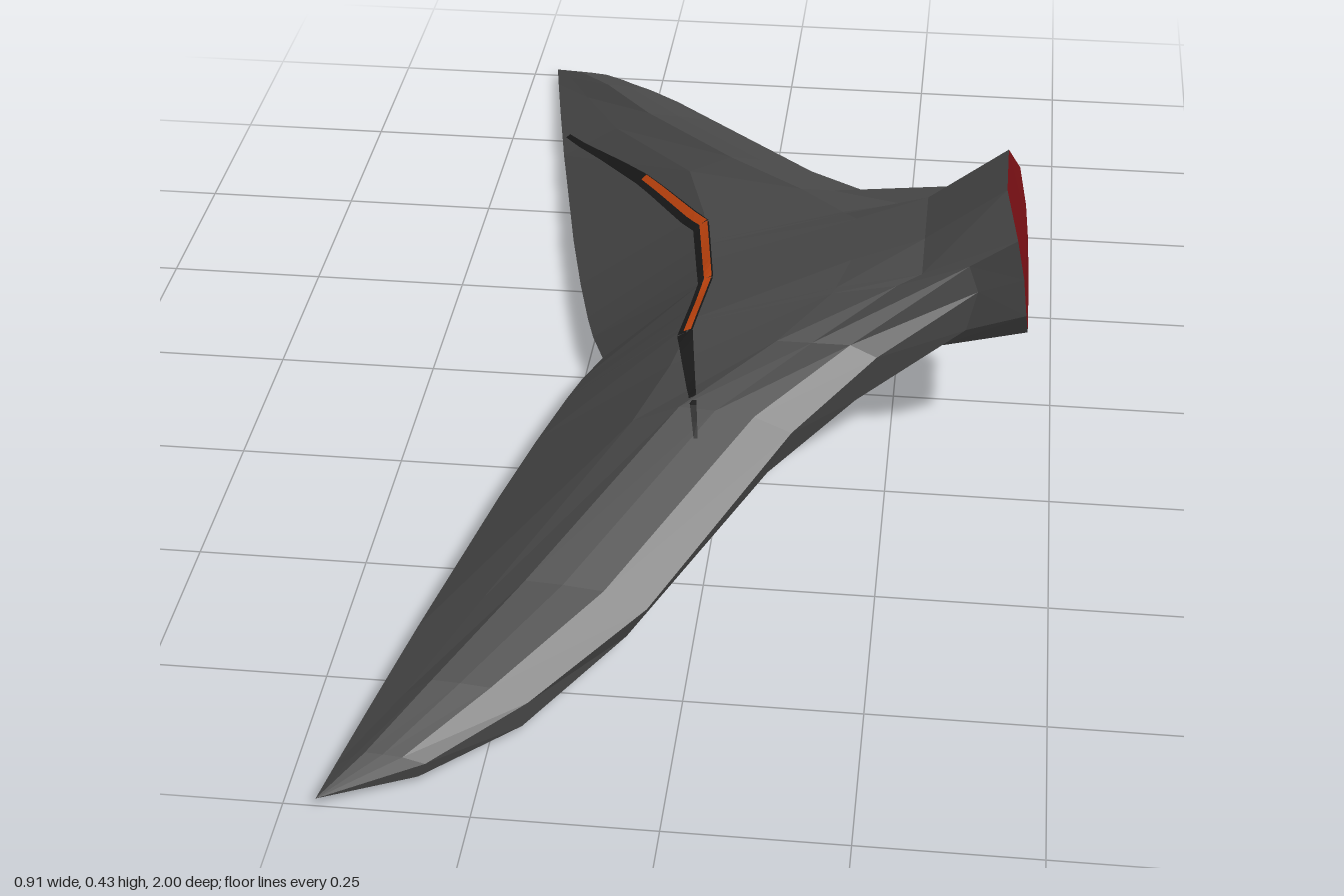
import * as THREE from 'three';

const material = (name, color, side = THREE.FrontSide) => {
  const m = new THREE.MeshStandardMaterial({ color, side });
  m.name = name;
  return m;
};

// Half-span stations: z, then x,y of groove line, ridge, top front, nose, lower front, belly
const STATIONS = [
  [.06,  -.052, .207, .18, .298, .41, .437, .445, .31, .455, .183, .24, .128],
  [.108, -.06, .205, .16, .277, .43, .378, .443, .31, .45, .245, .22, .132],
  [.118, -.06, .205, .155, .273, .36, .335, .375, .29, .36, .22, .21, .13],
  [.22,  -.08, .195, .08, .25, .19, .25, .23, .23, .2, .15, .09, .092],
  [.36,  -.12, .188, -.05, .22, .06, .21, .115, .185, .08, .11, 0, .062],
  [.66,  -.29, .09, -.23, .125, -.12, .115, -.06, .088, -.09, .036, -.16, .016],
  [.83,  -.37, .055, -.33, .084, -.25, .077, -.2, .055, -.21, .012, -.23, .004],
  [.94,  -.42, .035, -.4, .048, -.35, .044, -.32, .035, -.33, .012, -.34, .008],
];

// Full ring: the rear edge follows a curve in z, and the neck top sags between ridge and front
function ring(z, p) {
  const rear = [-.22 - .235 * z ** .8, .045 - .028 * z];
  const sag = [p[2] + .48 * (p[4] - p[2]), p[3] + .33 * (p[5] - p[3])];
  const points = [rear, [p[0], p[1]], [p[2], p[3]], sag];
  for (let i = 4; i < 12; i += 2) points.push([p[i], p[i + 1]]);
  return points.map(([x, y]) => [x, y, z]);
}

const RINGS = [
  ring(0, STATIONS[0].slice(1)),
  ...STATIONS.map(([z, ...p]) => ring(z, p)),
  Array(8).fill([-.455, .017, 1]),
];

function facets(pos) {
  const g = new THREE.BufferGeometry();
  g.setAttribute('position', new THREE.Float32BufferAttribute(pos, 3));
  g.computeVertexNormals();
  return g;
}

// Skin the rings, mirrored in z; keep(i, s) picks which faces belong to the part
function skin(keep) {
  const pos = [];
  for (const side of [1, -1])
    for (let s = 0; s < RINGS.length - 1; s++)
      for (let i = 0; i < 8; i++) {
        if (!keep(i, s)) continue;
        const j = (i + 1) % 8;
        const [a, b, c, d] = [RINGS[s][i], RINGS[s + 1][i], RINGS[s][j], RINGS[s + 1][j]]
          .map(([x, y, z]) => [x, y, side * z]);
        for (const [p, q, r] of [[a, b, c], [c, b, d]])
          pos.push(...p, ...(side > 0 ? q : r), ...(side > 0 ? r : q));
      }
  return facets(pos);
}

// Thin ribbon laid on the upper (dir 1) or lower (dir -1) skin; path holds [x, z, width]
function ribbon(body, path, dir, lift, scale = 1, shift = 0) {
  const ray = new THREE.Raycaster();
  const drop = (x, z) => {
    ray.set(new THREE.Vector3(x, dir * 2, z), new THREE.Vector3(0, -dir, 0));
    const hit = ray.intersectObject(body)[0];
    return hit ? [x, hit.point.y + dir * lift, z] : null;
  };
  const pos = [];
  for (let k = 0; k < path.length - 1; k++) {
    const dx = path[k + 1][0] - path[k][0], dz = path[k + 1][1] - path[k][1];
    const len = Math.hypot(dx, dz);
    let last = null;
    for (let n = 0; n <= 10; n++) {
      const [x, z, w] = path[k].map((v, i) => v + (path[k + 1][i] - v) * n / 10);
      const at = (o) => drop(x + dz / len * w * o, z - dx / len * w * o);
      const l = at(shift - scale / 2), r = at(shift + scale / 2);
      const now = l && r ? [l, r] : null;
      if (last && now) {
        const quad = [last[0], now[0], last[1], now[0], now[1], last[1]];
        if (dir < 0) quad.reverse();
        pos.push(...quad.flat());
      }
      last = now;
    }
  }
  return facets(pos);
}

export function createModel() {
  const model = new THREE.Group();
  model.name = 'sweptWing';
  const grey = material('stoneGrey', 0x4b4b4b);
  const red = material('darkRed', 0x730f13);
  const orange = material('glowOrange', 0xd04a10, THREE.DoubleSide);
  const dark = material('grooveDark', 0x1c1c1c, THREE.DoubleSide);
  const rim = material('grooveRim', 0x626262, THREE.DoubleSide);
  const add = (name, geometry, mat) => {
    const mesh = new THREE.Mesh(geometry, mat);
    mesh.name = name;
    model.add(mesh);
    return mesh;
  };

  // Faceted swept body and the red end face of the neck
  const isCap = (i, s) => s < 2 && (i === 4 || i === 5);
  const body = add('body', skin((i, s) => !isCap(i, s)), grey);
  add('neckEndFace', skin(isCap), red);

  // Groove winding over the top
  const top = [[-.39, -.72, .008], [-.21, -.42, .02], [-.08, -.18, .026], [-.052, 0, .024], [-.068, .14, .024], [-.02, .41, .006]];
  add('topGroove', ribbon(body, top, 1, .002), dark);
  add('topGrooveGlow', ribbon(body, top.slice(1, 5), 1, .004, .5, .15), orange);

  // Bent groove under the left wing
  const under = [[.23, -.08, .045], [.2, .1, .045], [.05, .27, .028], [-.1, .58, .045]];
  add('underGroove', ribbon(body, under, -1, .002), dark);
  add('underGrooveGlow', ribbon(body, under, -1, .004, .65), orange);

  // Fine groove under the right wing
  const fine = [[.22, -.08, .008], [-.16, -.03, .012], [-.26, -.38, .016], [-.38, -.71, .008]];
  add('rightUnderGroove', ribbon(body, fine, -1, .002), dark);
  add('rightUnderGrooveRim', ribbon(body, fine.slice(1), -1, .004, .6), rim);
  return model;
}
